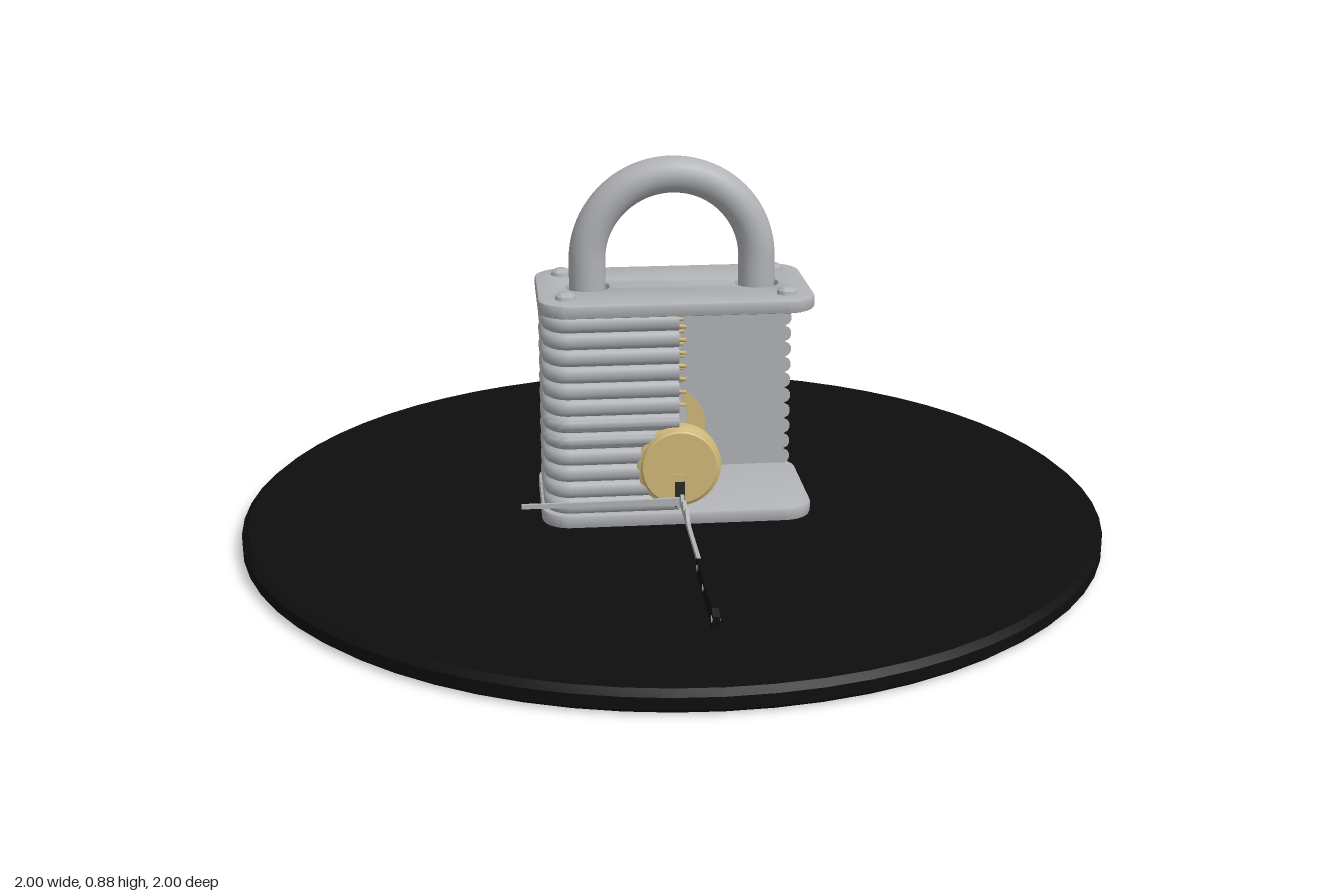
import * as THREE from 'three';
import { toCreasedNormals } from 'three/addons/utils/BufferGeometryUtils.js';

const mat = (name, color, extra = {}) => new THREE.MeshStandardMaterial({ name, color, ...extra });
const steel = mat('steel', 0xb0b2b6);
const brass = mat('brass', 0xd0b878);
const black = mat('black', 0x0e0e0e);
const dark = mat('dark slot', 0x2c2a28);

const PIN_Z = [0.09, 0.03, -0.03, -0.09];
const BORE = 0.025;

export function createModel() {
  const model = new THREE.Group();
  model.name = 'cutawayPadlock';
  const add = (name, geo, material, x = 0, y = 0, z = 0) => {
    const m = new THREE.Mesh(geo, material);
    m.name = name;
    m.position.set(x, y, z);
    model.add(m);
    return m;
  };
  const cyl = (r, h, n = 24) => new THREE.CylinderGeometry(r, r, h, n);
  const lathe = (pts, n) => toCreasedNormals(
    new THREE.LatheGeometry(pts.map(p => new THREE.Vector2(...p)), n), 0.6);

  // Round display base
  add('base', lathe([[0, 0], [0.985, 0], [1, 0.012], [1, 0.038], [0.985, 0.05], [0, 0.05]], 64), black);

  // End plates with rounded corners; the top one has shackle holes
  const endPlate = (holes) => {
    const X = 0.306, Z = 0.166, r = 0.06, b = 0.006;
    const s = new THREE.Shape();
    s.absarc(X - r, Z - r, r, 0, Math.PI / 2);
    s.absarc(-X + r, Z - r, r, Math.PI / 2, Math.PI);
    s.absarc(-X + r, -Z + r, r, Math.PI, Math.PI * 1.5);
    s.absarc(X - r, -Z + r, r, Math.PI * 1.5, Math.PI * 2);
    if (holes) for (const x of [-0.195, 0.195])
      s.holes.push(new THREE.Path().absarc(x, 0, 0.056, 0, Math.PI * 2, true));
    const g = new THREE.ExtrudeGeometry(s, {
      depth: 0.02, bevelThickness: b, bevelSize: b, bevelSegments: 2, curveSegments: 12 });
    g.translate(0, 0, b).rotateX(-Math.PI / 2);
    return toCreasedNormals(g, 0.6);
  };
  add('bottomPlate', endPlate(false), steel, 0, 0.05, 0);
  add('topPlate', endPlate(true), steel, 0, 0.545, 0);

  add('laminatedBody', laminatedBody(), steel);

  // Rivets on the top plate
  for (const x of [-0.25, 0.25]) for (const z of [-0.11, 0.11])
    add('rivet', lathe([[0.024, 0], [0.022, 0.009], [0.014, 0.015], [0, 0.017]], 20), steel, x, 0.576, z);

  // Shackle: half ring on two legs
  add('shackleBow', new THREE.TorusGeometry(0.195, 0.042, 20, 40, Math.PI), steel, 0, 0.638, 0);
  for (const x of [-0.195, 0.195])
    add('shackleLeg', cyl(0.042, 0.128, 28), steel, x, 0.574, 0);

  // Lock cylinder: front flange, halved plug and back disc
  const flange = lathe([[0, 0], [0.092, 0], [0.096, 0.004], [0.096, 0.03], [0.088, 0.034],
    [0.088, 0.041], [0.084, 0.045], [0, 0.045]], 48);
  flange.rotateX(Math.PI / 2);
  add('frontFlange', flange, brass, 0, 0.19, 0.133);
  const half = new THREE.Shape();
  half.moveTo(0.003, 0.1);
  half.lineTo(0.003, 0.24);
  half.absarc(0, 0.17, 0.07, Math.PI / 2, Math.PI * 1.5);
  add('plug', toCreasedNormals(new THREE.ExtrudeGeometry(half, {
    depth: 0.275, bevelEnabled: false, curveSegments: 20 }), 0.6), brass, 0, 0, -0.14);
  add('backDisc', cyl(0.094, 0.05, 48), brass, 0, 0.19, -0.152).rotation.x = Math.PI / 2;
  add('tailPiece', new THREE.BoxGeometry(0.03, 0.075, 0.008), brass, 0, 0.19, -0.178);
  add('keyway', new THREE.BoxGeometry(0.022, 0.065, 0.004), dark, 0, 0.13, 0.178);
  add('keywayWard', new THREE.BoxGeometry(0.028, 0.018, 0.006), brass, 0, 0.168, 0.178);

  // Pin stacks: brass key pin, steel driver pin, spring
  [0.235, 0.245, 0.22, 0.245].forEach((split, i) => {
    const z = PIN_Z[i], x = 0.003, top = split + 0.078;
    const len = split - 0.155;
    add('keyPin', new THREE.CapsuleGeometry(0.02, len - 0.02, 6, 20), brass, x, 0.155 + len / 2 + 0.01, z);
    add('driverPin', cyl(0.021, 0.078), steel, x, split + 0.039, z);
    const pts = [], turns = 7;
    for (let k = 0; k <= turns * 10; k++) {
      const a = k / 10 * Math.PI * 2;
      pts.push(new THREE.Vector3(Math.cos(a) * 0.018, top + (0.53 - top) * k / (turns * 10), Math.sin(a) * 0.018));
    }
    add('spring', new THREE.TubeGeometry(new THREE.CatmullRomCurve3(pts), 140, 0.0045, 6), brass, x, 0, z);
  });

  // Rake pick lying along z; profiles are drawn in (z, y)
  const sideCut = (pts, thick) => {
    const g = new THREE.ExtrudeGeometry(new THREE.Shape(pts.map(p => new THREE.Vector2(...p))),
      { depth: thick, bevelEnabled: false });
    return g.translate(0, 0, -thick / 2).rotateY(-Math.PI / 2);
  };
  add('pickBlade', sideCut([
    [0.1, 0.112], [0.2, 0.112], [0.6, 0.115], [0.6, 0.128], [0.38, 0.124], [0.345, 0.128],
    [0.315, 0.148], [0.29, 0.128], [0.265, 0.145], [0.24, 0.13], [0.22, 0.143], [0.19, 0.122], [0.1, 0.12],
  ].map(([z, y]) => [z, y]), 0.008), steel, 0.001, 0, 0);
  add('pickHandle', sideCut([
    [0.565, 0.108], [0.58, 0.103], [0.68, 0.106], [0.83, 0.1], [0.85, 0.108],
    [0.85, 0.132], [0.83, 0.142], [0.68, 0.135], [0.58, 0.139], [0.565, 0.134],
  ], 0.014), black);
  for (const z of [0.585, 0.685, 0.835])
    add('handleRivet', cyl(0.007, 0.017, 12), steel, 0, 0.121, z).rotation.z = Math.PI / 2;

  // Tension wrench: long arm to the side and a short foot in the keyway
  const arm = new THREE.Shape();
  [[0, 0.105], [0, 0.124], [-0.1, 0.122], [-0.36, 0.121], [-0.36, 0.111], [-0.1, 0.109]]
    .forEach(([x, y], i) => (i ? arm.lineTo(x, y) : arm.moveTo(x, y)));
  add('wrenchArm', new THREE.ExtrudeGeometry(arm, { depth: 0.008, bevelEnabled: false }), steel, 0, 0, 0.185);
  add('wrenchFoot', new THREE.BoxGeometry(0.008, 0.012, 0.06), steel, -0.004, 0.108, 0.163);

  return model;
}

// Stack of bulging plates with the front left quarter cut away and half bores along the cut
function laminatedBody() {
  const cx = 0.246, cz = 0.106, R = 0.06, cut = -0.13, layers = 12, y0 = 0.08, y1 = 0.548;
  const outline = (inset) => {
    const r = R - inset, pts = [[0, cz + r]];
    const arc = (x, z, a, b) => {
      for (let i = 0; i <= 8; i++) {
        const t = a + (b - a) * i / 8;
        pts.push([x + Math.cos(t) * r, z + Math.sin(t) * r]);
      }
    };
    arc(-cx, cz, Math.PI / 2, Math.PI);
    arc(-cx, -cz, Math.PI, Math.PI * 1.5);
    arc(cx, -cz, -Math.PI / 2, -Math.asin((-cz - cut) / r));
    pts.push([0, cut]);
    for (const z of [...PIN_Z].reverse())
      for (let i = 0; i <= 8; i++) {
        const t = Math.PI * i / 8;
        pts.push([-Math.sin(t) * BORE, z - Math.cos(t) * BORE]);
      }
    return pts;
  };
  const profile = [[0, 0.013], [0.14, 0.004], [0.35, 0], [0.65, 0], [0.86, 0.004]];
  const rings = [];
  for (let k = 0; k < layers; k++)
    for (const [f, inset] of profile) rings.push([y0 + (y1 - y0) * (k + f) / layers, inset]);
  rings.push([y1, 0.013]);

  const pos = [], index = [];
  let n = 0;
  rings.forEach(([y, inset], j) => {
    const pts = outline(inset);
    n = pts.length;
    for (const [x, z] of pts) pos.push(x, y, z);
    if (j) for (let i = 0; i < n; i++) {
      const a = (j - 1) * n + i, c = (j - 1) * n + (i + 1) % n;
      index.push(a, a + n, c, a + n, c + n, c);
    }
  });
  const g = new THREE.BufferGeometry();
  g.setAttribute('position', new THREE.Float32BufferAttribute(pos, 3));
  g.setIndex(index);
  return toCreasedNormals(g, 0.75);
}
